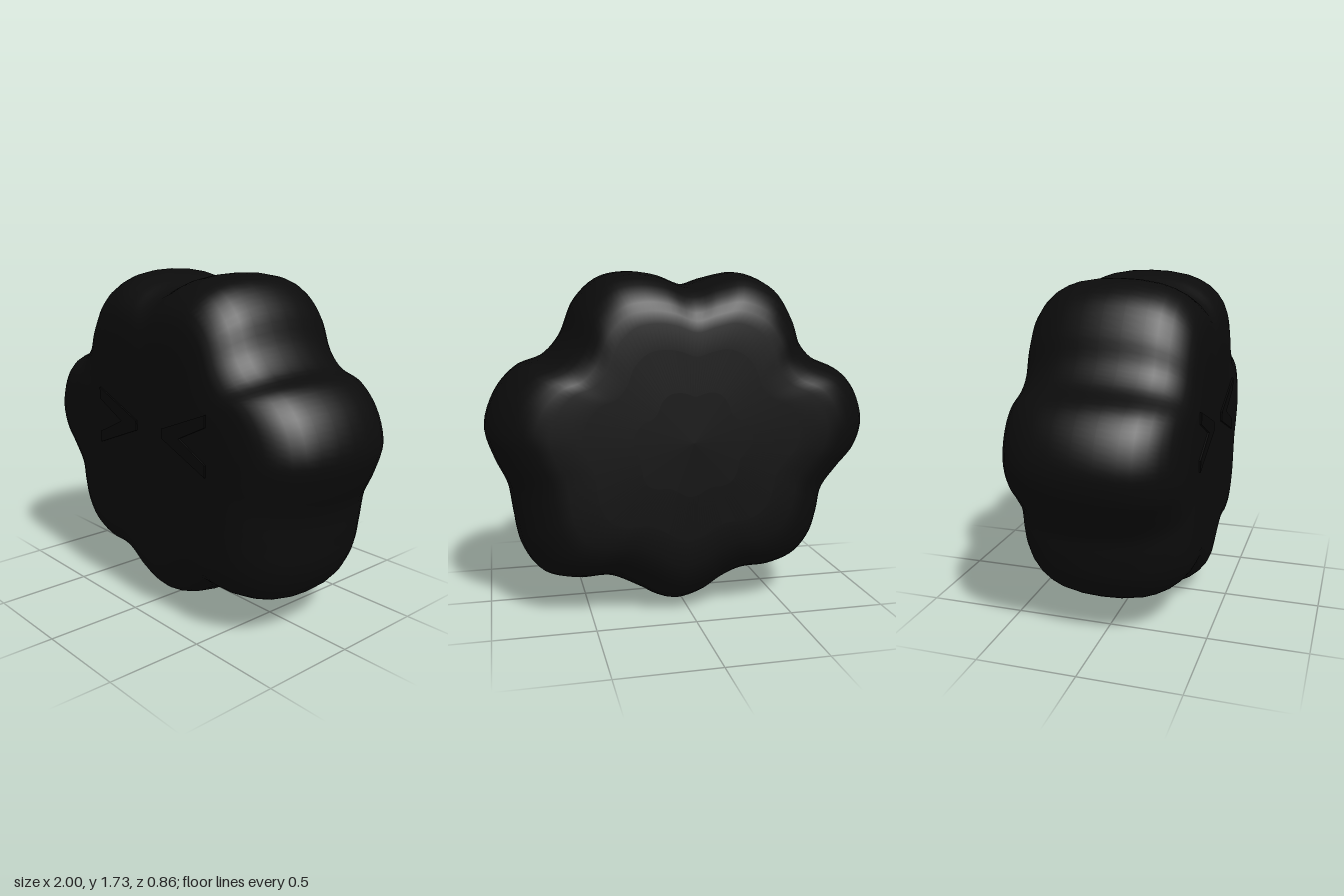
import * as THREE from 'three';

const bodyMat = new THREE.MeshStandardMaterial({ color: 0x0b0b0b });
bodyMat.name = 'soft black';
const eyeMat = new THREE.MeshStandardMaterial({ color: 0x080808 });
eyeMat.name = 'eye black';

const CY = 0.9; // height of the body's middle

// Seven-lobed outline, slightly uneven like a sewn cushion
const OUTLINE = [
  [-0.02, 1.665], [0.13, 1.715], [0.27, 1.73], [0.41, 1.7], [0.53, 1.585], [0.605, 1.41],
  [0.695, 1.31], [0.83, 1.255], [0.945, 1.13], [1.0, 0.955], [0.96, 0.81], [0.895, 0.665],
  [0.868, 0.5], [0.84, 0.355], [0.75, 0.215], [0.6, 0.165], [0.41, 0.163], [0.25, 0.09],
  [0.145, 0.03], [0.05, 0.005], [-0.085, 0.04], [-0.2, 0.11], [-0.31, 0.152], [-0.47, 0.163],
  [-0.62, 0.22], [-0.71, 0.33], [-0.75, 0.46], [-0.775, 0.585], [-0.87, 0.71], [-0.96, 0.815],
  [-1.0, 0.955], [-0.96, 1.105], [-0.87, 1.215], [-0.71, 1.29], [-0.63, 1.375], [-0.578, 1.515],
  [-0.48, 1.655], [-0.31, 1.727], [-0.16, 1.703],
];

// Rounded edge: [scale of outline, half depth], from the rim to the flat face
const EDGE = [
  [1, 0], [0.995, 0.1], [0.975, 0.2], [0.95, 0.26], [0.915, 0.315],
  [0.87, 0.36], [0.82, 0.393], [0.77, 0.413], [0.7, 0.425], [0.55, 0.425], [0.3, 0.425], [0, 0.425],
];

function bodyGeometry() {
  const curve = new THREE.CatmullRomCurve3(
    OUTLINE.map(([x, y]) => new THREE.Vector3(x, y - CY, 0)), true);
  const n = 180;
  const ring = curve.getPoints(n).slice(0, n);
  // Rings from the back centre over the rim to the front centre
  const profile = [
    ...EDGE.slice(1).reverse().map(([s, z]) => [s, -z]),
    ...EDGE,
  ];
  const pos = [], index = [];
  for (const [s, z] of profile)
    for (const p of ring) pos.push(p.x * s, CY + p.y * s, z - 0.01);
  for (let r = 0; r < profile.length - 1; r++) {
    for (let i = 0; i < n; i++) {
      const j = (i + 1) % n;
      const a = r * n + i, b = r * n + j, c = a + n, d = b + n;
      // The outline runs clockwise seen from the front
      index.push(a, c, b, b, c, d);
    }
  }
  const g = new THREE.BufferGeometry();
  g.setAttribute('position', new THREE.Float32BufferAttribute(pos, 3));
  g.setIndex(index);
  g.computeVertexNormals();
  return g;
}

// Thin chevron plate pointing towards +x (dir 1) or -x (dir -1)
function eye(name, x, dir) {
  const w = 0.16, h = 0.15, t = 0.06;
  const pts = [[-w, h], [w, 0.025], [w, -0.025], [-w, -h], [-w, -h + t], [w - 0.13, 0], [-w, h - t]]
    .map(([px, py]) => new THREE.Vector2(px * dir, py));
  const g = new THREE.ExtrudeGeometry(new THREE.Shape(pts), { depth: 0.009, bevelEnabled: false });
  const m = new THREE.Mesh(g, eyeMat);
  m.name = name;
  m.position.set(x, 0.97, 0.416);
  return m;
}

export function createModel() {
  const group = new THREE.Group();
  group.name = 'lobedCushion';
  const body = new THREE.Mesh(bodyGeometry(), bodyMat);
  body.name = 'body';
  group.add(body, eye('rightEye', -0.22, 1), eye('leftEye', 0.31, -1));
  return group;
}
